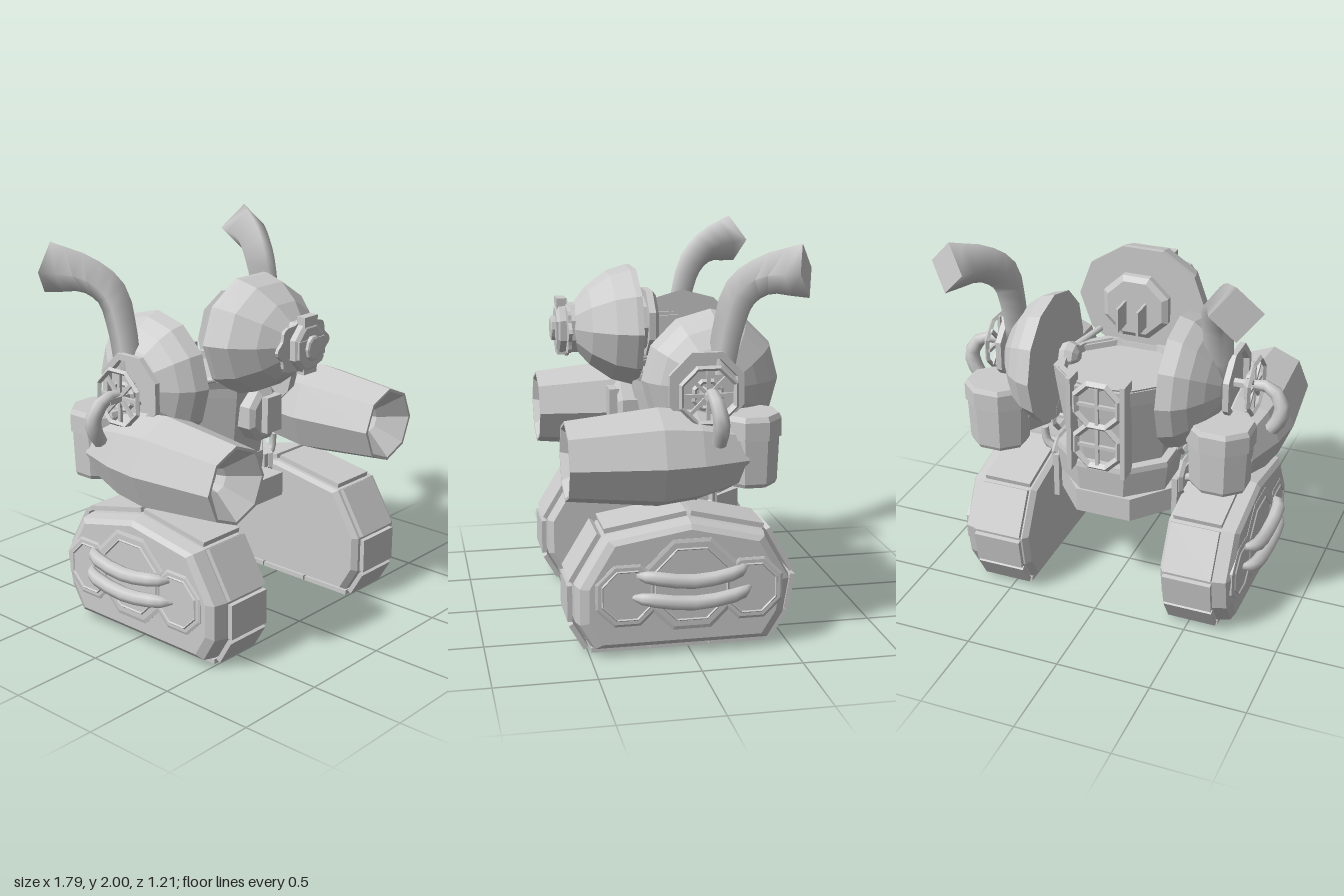
import * as THREE from 'three';
import { toCreasedNormals } from 'three/addons/utils/BufferGeometryUtils.js';

const V = (x, y, z) => new THREE.Vector3(x, y, z);
const grey = new THREE.MeshStandardMaterial({ color: 0xcccccc });

// Reverses the corner order of every triangle
function flip(geo) {
  for (const a of Object.values(geo.attributes)) {
    const n = a.itemSize;
    for (let i = 0; i < a.count; i += 3) {
      for (let k = 0; k < n; k++) {
        const p = (i + 1) * n + k, q = (i + 2) * n + k, t = a.array[p];
        a.array[p] = a.array[q];
        a.array[q] = t;
      }
    }
  }
}

// Closed solid through a list of equal-length rings, capped at both ends
function loft(rings, crease = 0) {
  const tri = [], n = rings[0].length;
  for (let i = 0; i + 1 < rings.length; i++) {
    for (let j = 0; j < n; j++) {
      const k = (j + 1) % n, a = rings[i], b = rings[i + 1];
      tri.push(a[j], a[k], b[k], a[j], b[k], b[j]);
    }
  }
  const last = rings[rings.length - 1];
  for (const [ring, start] of [[rings[0], true], [last, false]]) {
    const mid = ring.reduce((s, p) => s.add(p), V(0, 0, 0)).divideScalar(n);
    for (let j = 0; j < n; j++) {
      const p = ring[j], q = ring[(j + 1) % n];
      tri.push(mid, start ? q : p, start ? p : q);
    }
  }
  let volume = 0;
  for (let i = 0; i < tri.length; i += 3) volume += tri[i].dot(V(0, 0, 0).crossVectors(tri[i + 1], tri[i + 2]));
  const geo = new THREE.BufferGeometry().setFromPoints(tri);
  if (volume < 0) flip(geo);
  geo.computeVertexNormals();
  return crease ? toCreasedNormals(geo, crease) : geo;
}

// Solid of revolution about an axis; the profile lists [position, radius]
function turn(axis, profile, sides, c, { su = 1, sv = 1, rot = 0 } = {}) {
  const rings = profile.map(([t, r]) => Array.from({ length: sides }, (_, j) => {
    const a = ((j + rot) / sides) * Math.PI * 2, u = r * su * Math.cos(a), v = r * sv * Math.sin(a);
    const p = axis === 'x' ? V(t, u, v) : axis === 'y' ? V(u, t, v) : V(u, v, t);
    return p.add(V(...c));
  }));
  return loft(rings);
}

// Tapered tube along a curve; side is a fixed direction across the bend
function sweep(points, radii, sides, side, steps = 8) {
  const curve = new THREE.CatmullRomCurve3(points.map(p => V(...p)));
  const s = V(...side).normalize(), rings = [];
  for (let i = 0; i <= steps; i++) {
    const t = i / steps, f = t * (radii.length - 1), k = Math.min(Math.floor(f), radii.length - 2);
    const r = THREE.MathUtils.lerp(radii[k], radii[k + 1], f - k);
    const n = V(0, 0, 0).crossVectors(s, curve.getTangent(t)).normalize(), c = curve.getPoint(t);
    rings.push(Array.from({ length: sides }, (_, j) => {
      const a = (j / sides) * Math.PI * 2;
      return c.clone().addScaledVector(s, r * Math.cos(a)).addScaledVector(n, r * Math.sin(a));
    }));
  }
  return loft(rings, sides === 4 ? 1.6 : 1.1);
}

const box = (w, h, d, x, y, z, rx = 0) => new THREE.BoxGeometry(w, h, d).rotateX(rx).translate(x, y, z);

// Wire ring, facing z or turned to face x
function wire(r, t, x, y, z, faceX = true) {
  const g = new THREE.TorusGeometry(r, t, 4, 8).rotateZ(Math.PI / 8);
  if (faceX) g.rotateY(Math.PI / 2);
  const flat = g.translate(x, y, z).toNonIndexed();
  flat.computeVertexNormals();
  return flat;
}

export function createModel() {
  const model = new THREE.Group();
  const add = (name, geo) => {
    const m = new THREE.Mesh(geo, grey);
    m.name = name;
    model.add(m);
  };
  // Mirrored pair about the plane x = mid
  const pair = (name, geo, mid = 0) => {
    const g = geo.index ? geo.toNonIndexed() : geo, other = g.clone().scale(-1, 1, 1);
    flip(other);
    add(name + 'Left', g.translate(mid, 0, 0));
    add(name + 'Right', other.translate(mid, 0, 0));
  };

  // Tracks: bevelled hulls wrapped with plates, set slightly off centre
  const mid = .0135;
  const track = [[-.4, .04], [.49, .04], [.565, .17], [.565, .36], [.42, .6], [0, .67], [-.38, .58], [-.51, .35], [-.48, .17]];
  const outline = (x, k) => track.map(([z, y]) => V(x, .35 + (y - .35) * k, .02 + (z - .02) * k));
  pair('trackHull', loft([outline(.373, .95), outline(.4, 1), outline(.66, 1), outline(.73, .97), outline(.75, .89)]), mid);
  track.forEach(([z0, y0], i) => {
    const [z1, y1] = track[(i + 1) % track.length], dz = z1 - z0, dy = y1 - y0;
    const len = Math.hypot(dz, dy), n = Math.max(1, Math.round(len / .3));
    for (let k = 0; k < n; k++) {
      const t = (k + .5) / n;
      pair('treadPlate', box(.26, .025, (len / n) * .97, .533, y0 + dy * t - (dz / len) * .024,
        z0 + dz * t + (dy / len) * .024, Math.atan2(-dy, dz)), mid);
    }
  });
  // Raised wheel covers and bent bars on the track sides
  for (const [z, y, r] of [[0, .36, .25], [.32, .32, .17], [-.3, .32, .17]]) {
    pair('wheelCover', turn('x', [[.72, r], [.752, r], [.757, r * .92]], 8, [0, y, z], { rot: .5 }), mid);
    pair('wheelRim', wire(r * .78, .008, .755, y, z), mid);
  }
  for (const [y, l] of [[.42, .27], [.31, .29]]) {
    pair('sideBar', sweep([[.75, y, l], [.795, y, l * .8], [.805, y - .03, 0], [.795, y, -l * .8], [.75, y + .015, -l]],
      [.012, .036, .038, .036, .012], 8, [0, 1, 0], 10), mid);
  }

  // Base with a tapered back, collar and open-topped torso
  const footprint = [[-.33, .1], [.33, .1], [.33, -.17], [.15, -.38], [-.15, -.38], [-.33, -.17]];
  add('base', loft([.52, .65].map(y => footprint.map(([x, z]) => V(x, y, z)))));
  add('waist', turn('y', [[.64, .23], [.7, .23]], 8, [0, 0, -.14], { rot: .5, sv: .9 }));
  add('collar', turn('y', [[.67, .315], [.81, .335], [.84, .33], [.84, .25]], 8, [0, 0, -.14], { rot: .5, sv: .88 }));
  add('torso', turn('y', [[.82, .28], [1.2, .34], [1.28, .35], [1.28, .31], [1.22, .3]], 8, [0, 0, -.12], { rot: .5, sv: .93 }));
  add('torsoRim', turn('y', [[1.25, .32], [1.29, .335], [1.29, .3], [1.25, .29]], 12, [0, 0, -.11], { sv: .95 }));
  pair('neckStrut', sweep([[.31, 1.28, 0], [.27, 1.3, .08], [.22, 1.33, .17]], [.018, .018], 6, [0, 1, 0], 2));
  add('chestBox', turn('z', [[.05, .16], [.23, .16], [.25, .125]], 8, [.02, 1.09, 0], { rot: .5, su: .8, sv: .92 }));
  add('chestLatch', box(.11, .19, .06, .03, 1.1, .26));

  // Back grille between two fins
  for (const y of [.97, 1.2]) {
    add('grilleRing', wire(.125, .02, 0, y, -.445, false));
    add('grilleBar', box(.018, .23, .018, 0, y, -.445));
    add('grilleCrossbar', box(.23, .018, .018, 0, y, -.445));
  }
  pair('backFin', box(.025, .52, .1, .145, 1.08, -.42));

  // Side mounts between base, torso and arms
  pair('hipPlate', box(.03, .25, .2, .335, .6, -.12));
  pair('hipRing', wire(.1, .018, .355, .69, -.1));
  pair('sideRing', wire(.11, .016, .35, .95, -.1));
  pair('sideRod', turn('x', [[.24, .016], [.42, .016]], 6, [0, .9, -.1]));
  pair('hipHose', sweep([[.46, .8, -.08], [.45, .72, -.08], [.4, .68, -.08], [.34, .66, -.08]], [.02, .025, .02], 6, [0, 0, 1]));

  // Domed head with a flat back
  add('head', turn('z', [[.15, .35], [.18, .348], [.28, .315], [.39, .225], [.46, .13], [.49, .06]], 10, [-.01, 1.517, 0],
    { sv: .89 }));
  add('headBackPost', turn('z', [[.08, .14], [.16, .15]], 8, [0, 1.52, 0]));
  add('headBackPlate', turn('z', [[.04, .16], [.06, .19], [.095, .19]], 8, [-.01, 1.53, 0], { rot: .5, sv: .95 }));
  for (const x of [-.07, .04]) add('backProng', box(.014, .13, .12, x, 1.5, -.02));

  // Eye: wavy plate, housing and lens
  const petals = Array.from({ length: 48 }, (_, i) => {
    const a = (i / 48) * Math.PI * 2, r = .19 + .014 * Math.cos(a * 8);
    return new THREE.Vector2(r * Math.cos(a), r * .72 * Math.sin(a));
  });
  add('eyePlate', new THREE.ExtrudeGeometry(new THREE.Shape(petals), { depth: .018, bevelEnabled: false }).translate(-.01, 1.51, .49));
  add('eyeHousing', turn('z', [[.44, .12], [.54, .12], [.555, .1]], 8, [-.01, 1.51, 0], { rot: .5, sv: 1.1 }));
  add('eyeBracket', box(.1, .29, .05, -.01, 1.523, .525));
  add('eyeCrossPiece', box(.2, .09, .05, -.01, 1.51, .535));
  add('eyeLens', turn('z', [[.54, .055], [.575, .055], [.58, .045]], 10, [-.01, 1.51, 0], { sv: 1.15 }));

  // Shoulder domes with inner ball joints
  pair('shoulder', turn('x', [[.335, .35], [.41, .33], [.475, .28], [.535, .195], [.585, .1], [.6, .03]], 12, [0, 1.29, -.18]));
  pair('shoulderJoint', turn('x', [[.24, .03], [.26, .065], [.3, .08], [.34, .06]], 8, [0, 1.27, -.1]));

  // Spoked hub on each shoulder
  pair('hubPlate', turn('x', [[.59, .17], [.6, .2], [.63, .2], [.63, .165], [.6, .16]], 8, [0, 1.29, -.1], { rot: .5 }));
  pair('hubRing', wire(.145, .014, .71, 1.28, -.09));
  pair('hubInnerRing', wire(.07, .014, .68, 1.28, -.09));
  for (let i = 0; i < 4; i++) {
    pair('hubSpoke', new THREE.BoxGeometry(.016, .28, .018).rotateX((i * Math.PI) / 4).translate(.7, 1.28, -.09));
  }
  pair('hubAxle', turn('x', [[.54, .025], [.78, .025]], 6, [0, 1.28, -.09]));
  pair('hubHose', sweep([[.7, 1.29, -.1], [.79, 1.29, -.1], [.855, 1.21, -.115], [.85, 1.14, -.12], [.81, 1.07, -.12]],
    [.025, .034, .04, .042, .036], 8, [0, 0, 1], 6));

  // Square exhaust stacks bending up, out and back
  pair('exhaustStack', sweep([[.55, 1.36, -.18], [.55, 1.58, -.22], [.565, 1.75, -.275], [.63, 1.84, -.38], [.735, 1.87, -.55]],
    [.07, .076, .086, .092, .13], 4, [.88, 0, .47], 10));

  // Arm cannons with shallow funnel muzzles
  pair('cannon', turn('z', [[-.28, .155], [-.05, .225], [.14, .248], [.595, .2], [.595, .185], [.47, .065], [.42, .05]],
    8, [.61, .965, 0]));

  // Canister behind each cannon
  pair('canister', turn('y', [[.82, .13], [.84, .14], [1.06, .148]], 8, [.61, 0, -.315], { rot: .5, su: 1.12 }));
  pair('canisterLid', turn('y', [[1.06, .158], [1.15, .158], [1.175, .145]], 8, [.61, 0, -.315], { rot: .5, su: 1.12 }));

  return model;
}
